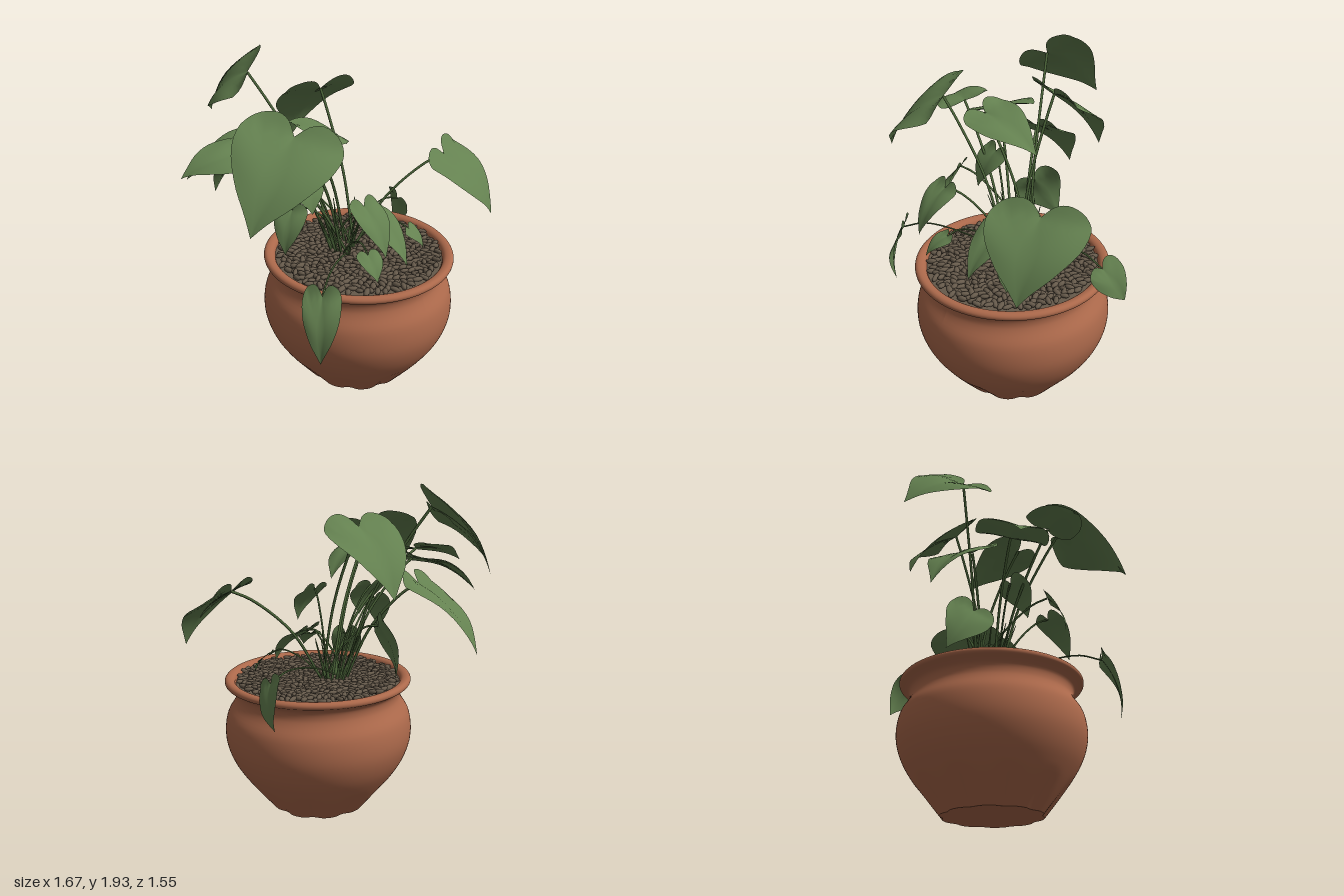
import * as THREE from 'three';
import { mergeGeometries } from 'three/addons/utils/BufferGeometryUtils.js';

const CX = 0.11, CZ = 0.22; // pot axis
const vec = (x, y, z) => new THREE.Vector3(x, y, z);
const spline = (...points) => new THREE.SplineCurve(points.map(([x, y]) => new THREE.Vector2(x, y)));

function material(name, color, side = THREE.FrontSide) {
  const m = new THREE.MeshStandardMaterial({ color, side });
  m.name = name;
  return m;
}

function seeded(seed) {
  return () => {
    seed = (seed * 16807) % 2147483647;
    return seed / 2147483647;
  };
}

// Half outline of a heart leaf: x runs from stalk to tip, y out to the lobe
const halfOutline = spline([0, 0], [-0.13, 0.22], [-0.17, 0.5], [-0.1, 0.83], [0.06, 1],
  [0.33, 0.93], [0.62, 0.6], [0.85, 0.22], [1, 0]);

// Heart-shaped blade from stalk end to tip, rolled about its midrib, arched and wavy
function leafGeometry(base, tip, halfWidth, roll, seed) {
  const along = tip.clone().sub(base), size = along.length();
  const level = vec(-along.z, 0, along.x).normalize();
  const rise = level.clone().cross(along).normalize();
  const side = level.multiplyScalar(Math.cos(roll)).addScaledVector(rise, Math.sin(roll));
  const normal = side.clone().cross(along).normalize();
  const rows = 26, half = 5, cols = 2 * half + 1, pos = [], index = [];
  for (let i = 0; i <= rows; i++) {
    const t = i / rows, edge = halfOutline.getPoint(t);
    for (let j = -half; j <= half; j++) {
      const s = Math.abs(j) / half, b = edge.y * s;
      const a = THREE.MathUtils.lerp(t, edge.x, s), c = Math.max(a, 0);
      const arch = 0.42 * c * (1 - c) + 0.08 * b * (1 - b);
      const wave = 0.025 * Math.sin(t * 13 + seed + Math.sign(j)) * b * b;
      const p = base.clone().addScaledVector(along, a)
        .addScaledVector(side, Math.sign(j) * b * halfWidth)
        .addScaledVector(normal, size * (arch + wave));
      pos.push(p.x, p.y, p.z);
      if (i < rows && j < half) {
        const k = i * cols + j + half;
        index.push(k, k + cols, k + 1, k + 1, k + cols, k + cols + 1);
      }
    }
  }
  const g = new THREE.BufferGeometry();
  g.setAttribute('position', new THREE.Float32BufferAttribute(pos, 3));
  g.setIndex(index);
  g.computeVertexNormals();
  return g;
}

// Thin stalk rising from the soil and arching over to a leaf
function stalkGeometry(root, end, radius) {
  const low = root.clone().lerp(end, 0.35), high = root.clone().lerp(end, 0.78);
  low.y += 0.06 + 0.1 * (end.y - root.y);
  high.y += 0.07;
  return new THREE.TubeGeometry(new THREE.CatmullRomCurve3([root, low, high, end]), 20, radius, 6);
}

// Per leaf: stalk end xyz, tip xyz, half width, roll
const upperLeaves = [
  [-0.41, 1.64, 0.25, -0.8, 1.26, 0.36, 0.27, 0.3],
  [-0.2, 1.8, -0.36, -0.16, 1.48, -0.77, 0.2, 0.72],
  [0.11, 1.7, -0.1, 0.18, 1.34, -0.41, 0.23, 0],
  [-0.35, 1.48, -0.12, -0.64, 1.28, -0.38, 0.21, 0.15],
  [-0.2, 1.57, 0.13, 0.15, 1.4, 0.07, 0.155, -0.28],
  [-0.54, 1.51, -0.01, -0.83, 1.42, -0.14, 0.155, 0.25],
  [-0.2, 1.37, -0.28, -0.26, 1.0, -0.65, 0.17, 0.1],
  [0.56, 1.34, 0.45, 0.68, 1.01, 0.73, 0.26, 0],
];
const middleLeaves = [
  [-0.14, 1.25, 0.48, -0.16, 1.02, 0.66, 0.1, 0],
  [0.12, 1.06, 0.3, 0.13, 0.82, 0.57, 0.115, 0.05],
  [-0.05, 1.12, -0.11, 0, 0.84, -0.28, 0.14, 1.25],
  [-0.19, 1.32, 0.06, -0.22, 1.12, 0.18, 0.12, 0],
  [-0.37, 1.2, 0.18, -0.46, 0.98, 0.22, 0.09, 0],
];
const lowLeaves = [
  [-0.49, 0.88, 0.53, -0.55, 0.51, 0.58, 0.1, 0],
  [0.64, 0.9, 0.06, 0.72, 0.68, -0.05, 0.1, -1.1],
  [0.32, 0.93, 0.42, 0.36, 0.82, 0.5, 0.075, 0],
  [-0.12, 0.96, 0.5, -0.17, 0.86, 0.62, 0.07, 0],
];

export function createModel() {
  const model = new THREE.Group();
  model.name = 'pottedPlant';
  const clay = material('terracotta', 0xac694b);
  const stone = material('pebble brown', 0x665a4b);
  const leafGreen = material('leaf green', 0x648150, THREE.DoubleSide);
  const stalkGreen = material('stalk green', 0x4f6a3c);
  const add = (name, geometry, mat, parent) => {
    const mesh = new THREE.Mesh(geometry, mat);
    mesh.name = name;
    parent.add(mesh);
    return mesh;
  };
  const addGroup = (name) => {
    const group = new THREE.Group();
    group.name = name;
    model.add(group);
    return group;
  };

  // Round pot, with shallow hollows pressed in around the foot
  const profile = spline([0.3, 0], [0.38, 0.1], [0.455, 0.2], [0.517, 0.3], [0.553, 0.4],
    [0.56, 0.49], [0.543, 0.58], [0.502, 0.65], [0.488, 0.69], [0.494, 0.73], [0.525, 0.755],
    [0.55, 0.77], [0.552, 0.79], [0.535, 0.803], [0.505, 0.797], [0.488, 0.77], [0.48, 0.7]);
  const flute = (g) => {
    const p = g.attributes.position;
    for (let i = 0; i < p.count; i++) {
      const x = p.getX(i), y = p.getY(i), z = p.getZ(i);
      const fade = Math.max(0, 1 - y / 0.2);
      const k = 1 - 0.06 * fade * (0.5 + 0.5 * Math.cos(10 * Math.atan2(z, x))) ** 2;
      p.setXYZ(i, x * k, y, z * k);
    }
    g.computeVertexNormals();
    return g;
  };
  const pot = addGroup('pot');
  pot.position.set(CX, 0, CZ);
  add('potWall', flute(new THREE.LatheGeometry(profile.getPoints(64), 100)), clay, pot);
  add('potBase', flute(new THREE.CircleGeometry(0.3, 100).rotateX(Math.PI / 2)), clay, pot);

  // Soil bed covered with long pebbles
  const bed = add('soilBed', new THREE.CircleGeometry(0.488, 64).rotateX(-Math.PI / 2), stone, pot);
  bed.position.y = 0.77;
  const rand = seeded(41), pebbles = [], count = 520;
  for (let i = 0; i < count; i++) {
    const r = 0.47 * Math.sqrt((i + 0.5) / count), a = i * 2.39996;
    const g = new THREE.SphereGeometry(1, 8, 6);
    g.scale(0.026 + 0.012 * rand(), 0.012 + 0.004 * rand(), 0.014 + 0.004 * rand());
    g.rotateZ((rand() - 0.5) * 0.5).rotateY(rand() * Math.PI);
    g.translate(r * Math.cos(a), 0.782 + 0.012 * rand(), r * Math.sin(a));
    pebbles.push(g);
  }
  add('pebbles', mergeGeometries(pebbles), stone, pot);

  // Leaves, each on its own stalk fanning from the middle of the plant
  const addLeaves = (name, list, radius) => {
    const tier = addGroup(name);
    list.forEach(([bx, by, bz, tx, ty, tz, halfWidth, roll], i) => {
      const base = vec(bx, by, bz), a = i * 2.4 + radius * 300;
      const root = vec(0.07 + 0.07 * Math.cos(a), 0.77, 0.13 + 0.07 * Math.sin(a));
      add('blade', leafGeometry(base, vec(tx, ty, tz), halfWidth, roll, i * 1.7), leafGreen, tier);
      add('stalk', stalkGeometry(root, base, radius), stalkGreen, tier);
    });
  };
  addLeaves('upperLeaves', upperLeaves, 0.008);
  addLeaves('middleLeaves', middleLeaves, 0.006);
  addLeaves('lowLeaves', lowLeaves, 0.005);

  // Young bare shoots and the sheaths around the crown
  const crown = addGroup('crown');
  for (let i = 0; i < 10; i++) {
    const a = i * 2.4 + 0.6;
    const lean = vec(-0.05 + 0.1 * Math.cos(a), 0.18 + 0.2 * rand(), 0.1 * Math.sin(a));
    const length = lean.length();
    const taper = new THREE.CylinderGeometry(0.002, 0.011, length, 6).translate(0, length / 2, 0);
    const shoot = add('shoot', taper, stalkGreen, crown);
    shoot.position.set(0.07 + 0.05 * Math.cos(a), 0.77, 0.12 + 0.05 * Math.sin(a));
    shoot.quaternion.setFromUnitVectors(vec(0, 1, 0), lean.normalize());
  }
  return model;
}
